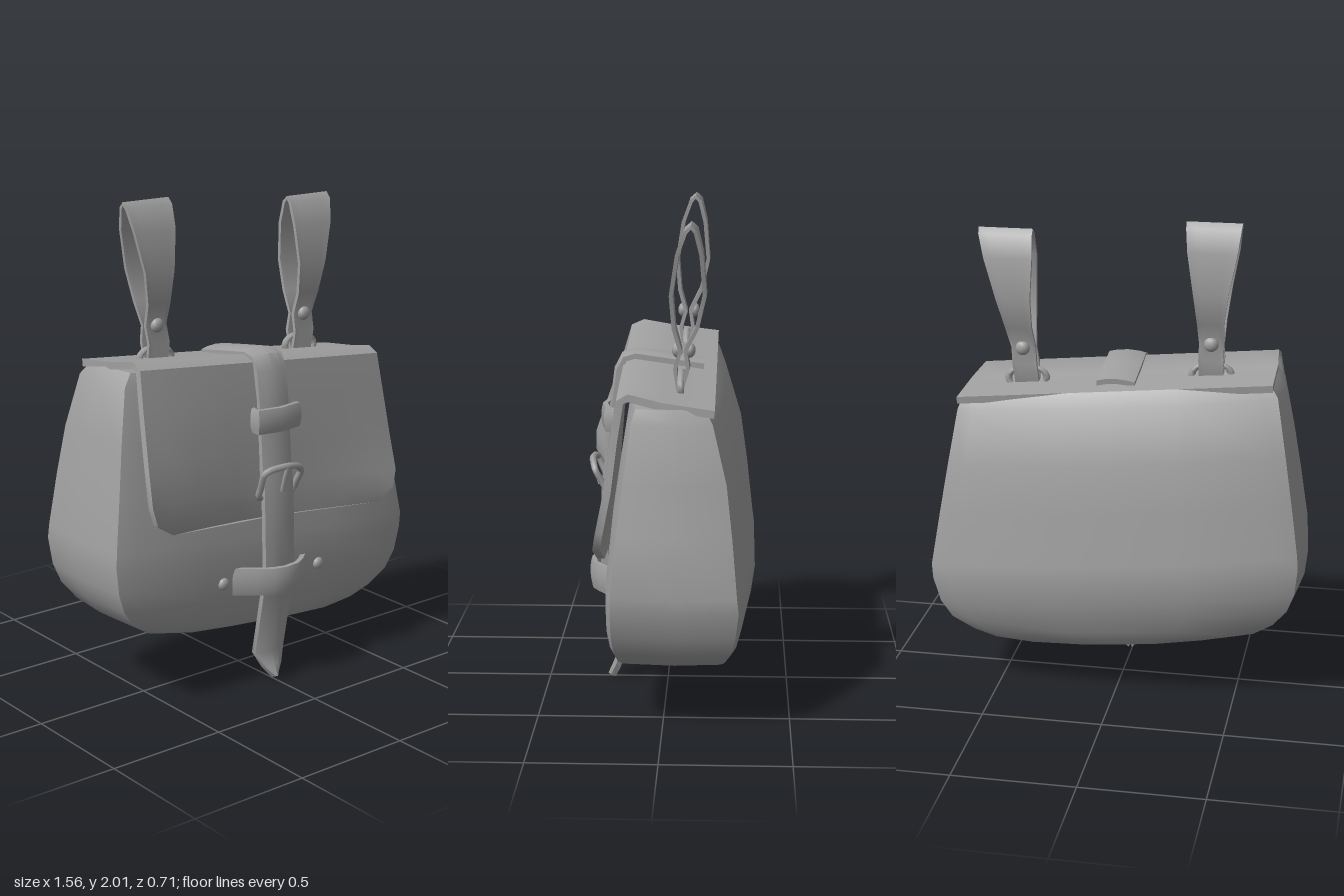
import * as THREE from 'three';
import { toCreasedNormals } from 'three/addons/utils/BufferGeometryUtils.js';

const V = (x, y, z) => new THREE.Vector3(x, y, z);
const leather = new THREE.MeshStandardMaterial({ color: 0xa0a0a0 });
leather.name = 'grey leather';
const TILT = 0.095; // the whole bag hangs slightly to one side

function add(parent, name, geo, x = 0, y = 0, z = 0) {
  const m = new THREE.Mesh(geo, leather);
  m.name = name;
  m.position.set(x, y, z);
  parent.add(m);
  return m;
}

// Skin closed cross-section rings and cap both ends
function loft(rings, crease = 0.8) {
  const n = rings[0].length, pos = [], idx = [];
  rings.forEach(r => r.forEach(p => pos.push(p.x, p.y, p.z)));
  for (let i = 0; i < rings.length - 1; i++) {
    for (let j = 0; j < n; j++) {
      const k = (j + 1) % n, a = i * n + j, b = i * n + k;
      idx.push(a, a + n, b + n, a, b + n, b);
    }
  }
  [0, rings.length - 1].forEach((r, end) => {
    const c = rings[r].reduce((s, p) => s.add(p), V(0, 0, 0)).divideScalar(n);
    const ci = pos.length / 3;
    pos.push(c.x, c.y, c.z);
    for (let j = 0; j < n; j++) {
      const a = r * n + j, b = r * n + (j + 1) % n;
      if (end) idx.push(ci, b, a); else idx.push(ci, a, b);
    }
  });
  const g = new THREE.BufferGeometry();
  g.setAttribute('position', new THREE.Float32BufferAttribute(pos, 3));
  g.setIndex(idx);
  return toCreasedNormals(g, crease);
}

// Inward direction (in the yz plane) of a strip at row i
function inward(rows, i, at) {
  const p = at(rows[Math.max(i - 1, 0)]), q = at(rows[Math.min(i + 1, rows.length - 1)]);
  return V(0, p.z - q.z, q.y - p.y).normalize();
}

// Leather strip along rows [centre x, half width, y, z]
function band(rows, t, bulge = 0) {
  const us = [-1, -0.6, 0, 0.6, 1];
  return loft(rows.map((r, i) => {
    const inn = inward(rows, i, q => V(0, q[2], q[3]));
    const outer = us.map(u => V(r[0] + u * r[1], r[2], r[3]).addScaledVector(inn, -bulge * (1 - u * u)));
    return [...outer, ...outer.map(p => p.clone().addScaledVector(inn, t)).reverse()];
  }));
}

function bodyGeometry() {
  // [height, left x, right x, front z, back z]
  const levels = [
    [0.235, -0.42, 0.40, 0.17, -0.25], [0.265, -0.60, 0.52, 0.19, -0.275],
    [0.31, -0.68, 0.61, 0.205, -0.295], [0.38, -0.74, 0.70, 0.22, -0.325],
    [0.46, -0.77, 0.745, 0.23, -0.345], [0.57, -0.782, 0.772, 0.232, -0.36],
    [0.63, -0.778, 0.778, 0.23, -0.352], [0.85, -0.745, 0.74, 0.205, -0.328],
    [1.05, -0.712, 0.705, 0.175, -0.30], [1.27, -0.67, 0.67, 0.14, -0.235],
    [1.325, -0.63, 0.65, 0.12, -0.2]
  ];
  // Half outline from the right flank: [x factor, front depth factor]
  const front = [[0.97, 0.84], [0.87, 0.93], [0.42, 1], [0, 1], [-0.42, 1], [-0.87, 0.93], [-0.97, 0.84]];
  const back = [[-0.97, 0.8], [-0.87, 0.87], [-0.4, 1], [0, 1], [0.3, 1], [0.87, 0.88], [0.97, 0.82]];
  return loft(levels.map(([y, l, r, f, b]) => {
    const pt = (u, z) => { const x = u > 0 ? u * r : -u * l; return V(x, y - TILT * x, z); };
    return [pt(1, (f + b) / 2), ...front.map(([u, w]) => pt(u, f * w)),
      pt(-1, (f + b) / 2), ...back.map(([u, w]) => pt(u, b * w))];
  }), 0.75);
}

function flapGeometry() {
  // [height, left x, right x, left z, centre z, right z], back edge to front hem
  const rows = [
    [1.325, -0.63, 0.65, -0.2, -0.2, -0.2], [1.35, -0.63, 0.635, 0, 0, 0],
    [1.375, -0.62, 0.61, 0.13, 0.13, 0.13], [1.35, -0.625, 0.612, 0.185, 0.18, 0.175],
    [1.2, -0.645, 0.625, 0.23, 0.205, 0.2], [1.0, -0.675, 0.65, 0.3, 0.222, 0.225],
    [0.85, -0.695, 0.662, 0.352, 0.232, 0.255], [0.775, -0.672, 0.635, 0.352, 0.235, 0.268],
    [0.715, -0.56, 0.56, 0.3, 0.235, 0.255]
  ];
  const us = [-1, -0.85, -0.6, -0.3, 0, 0.3, 0.6, 0.85, 1];
  return loft(rows.map(([y, l, r, zl, zc, zr], i) => {
    const inn = inward(rows, i, q => V(0, q[0], q[4]));
    const outer = us.map(u => {
      const x = u > 0 ? u * r : -u * l;
      return V(x, y - TILT * x, zc + ((u > 0 ? zr : zl) - zc) * Math.abs(u) ** 1.6);
    });
    return [...outer, ...outer.map(p => p.clone().addScaledVector(inn, 0.03)).reverse()];
  }), 0.7);
}

function rivet(parent, x, y, z, r) {
  add(parent, 'rivet', new THREE.SphereGeometry(r, 12, 8), x, y, z).scale.z = 0.7;
}

function tube(points, r, closed = false) {
  const path = new THREE.CatmullRomCurve3(points.map(p => V(...p)), closed, 'catmullrom', 0.3);
  return new THREE.TubeGeometry(path, 32, r, 6, closed);
}

// Belt loop with its metal ring and rivets
function hanger(x0, y0, lean) {
  const g = new THREE.Group();
  g.name = 'beltLoop';
  const rows = [ // [height above base, z, half width]
    [-0.03, -0.07, 0.05], [0.07, -0.1, 0.05], [0.14, -0.09, 0.05], [0.23, -0.135, 0.054],
    [0.36, -0.165, 0.07], [0.52, -0.152, 0.098], [0.61, -0.13, 0.108], [0.633, -0.105, 0.11],
    [0.61, -0.078, 0.108], [0.52, -0.045, 0.098], [0.36, -0.02, 0.07], [0.23, -0.03, 0.054],
    [0.14, -0.055, 0.05], [0.07, -0.035, 0.05], [-0.03, -0.05, 0.05]
  ].map(([h, z, w]) => [x0 + lean * Math.max(h, 0) ** 1.3, w, y0 + h, z]);
  add(g, 'loopStrap', band(rows, 0.015));
  rivet(g, x0 + lean * 0.08, y0 + 0.14, -0.05, 0.03);
  rivet(g, x0 + lean * 0.08, y0 + 0.14, -0.1, 0.03);
  const ring = add(g, 'metalRing', new THREE.TorusGeometry(0.08, 0.015, 6, 16), x0, y0 + 0.005, -0.065);
  ring.scale.y = 0.6;
  ring.rotation.z = -TILT;
  return g;
}

export function createModel() {
  const bag = new THREE.Group();
  bag.name = 'beltBag';
  add(bag, 'body', bodyGeometry());
  add(bag, 'flap', flapGeometry());

  // Closing strap from the lid over the front to the pointed tip
  add(bag, 'closingStrap', band([
    [0.005, 0.078, 1.35, -0.15], [0.005, 0.078, 1.372, 0], [0.005, 0.077, 1.39, 0.13],
    [0.005, 0.076, 1.375, 0.18], [0.005, 0.075, 1.32, 0.208], [0.005, 0.075, 1.15, 0.23],
    [0, 0.075, 0.95, 0.25], [0, 0.075, 0.84, 0.265], [0.003, 0.076, 0.68, 0.268],
    [0.005, 0.076, 0.5, 0.27], [0.005, 0.076, 0.38, 0.255], [0.007, 0.076, 0.11, 0.2],
    [0.01, 0.045, 0.05, 0.222], [0.01, 0.008, 0.003, 0.243]
  ], 0.022, 0.012));

  // Keepers: strips bent across the strap, turned so their width runs upright
  const keeper = (name, y, pts, half) =>
    add(bag, name, band(pts.map(([x, z, dy = 0]) => [dy, half, -x, z]), 0.02, 0.008), 0, y).rotation.z = Math.PI / 2;
  keeper('upperKeeper', 1.125,
    [[-0.105, 0.215, 0.005], [-0.095, 0.25], [0.01, 0.268], [0.12, 0.25], [0.13, 0.215, -0.005]], 0.05);
  keeper('lowerKeeper', 0.46,
    [[-0.21, 0.225, 0.01], [-0.12, 0.28, 0.004], [-0.06, 0.31], [0, 0.32, -0.002],
      [0.07, 0.31, -0.003], [0.12, 0.28, -0.004], [0.18, 0.225, -0.01]], 0.057);
  rivet(bag, -0.26, 0.475, 0.23, 0.026);
  rivet(bag, 0.245, 0.45, 0.23, 0.026);

  // Buckle frame leaning out at the top, with its prong
  add(bag, 'buckleFrame', tube([
    [-0.09, 0.81, 0.245], [-0.1, 0.86, 0.27], [-0.105, 0.92, 0.295], [-0.07, 0.938, 0.305],
    [0, 0.942, 0.312], [0.06, 0.932, 0.305], [0.092, 0.905, 0.295], [0.09, 0.86, 0.27],
    [0.085, 0.81, 0.245], [0, 0.81, 0.24]
  ], 0.014, true));
  add(bag, 'buckleProng', tube([[0, 0.94, 0.32], [0, 0.89, 0.302], [0.003, 0.83, 0.282]], 0.01));

  bag.add(hanger(-0.37, 1.37, -0.015), hanger(0.385, 1.315, 0.125));
  return bag;
}
